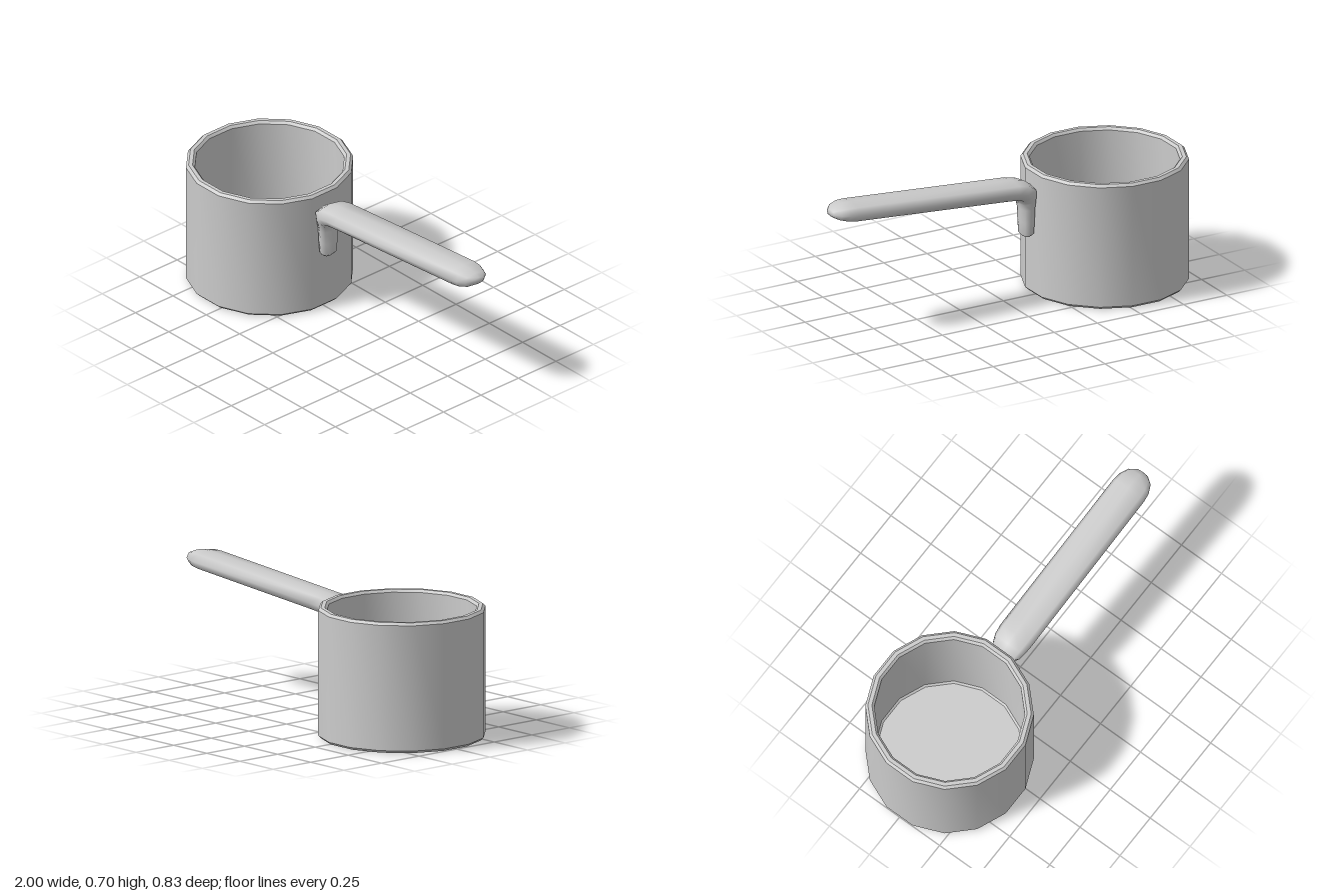
import * as THREE from 'three';
import { toCreasedNormals } from 'three/addons/utils/BufferGeometryUtils.js';

const SIDES = 16;

// Pot: one closed profile, outside up over the rim and down the inside
function makePot() {
  const profile = [
    [0, 0], [0.408, 0], [0.421, 0.013], [0.421, 0.652], [0.408, 0.665],
    [0.388, 0.665], [0.376, 0.652], [0.376, 0.05], [0.366, 0.04], [0, 0.04],
  ].map(([r, y]) => new THREE.Vector2(r, y));
  const lathe = new THREE.LatheGeometry(profile, SIDES, Math.PI / SIDES);
  return toCreasedNormals(lathe, 0.7);
}

// Handle: rounded eight-sided sections [x, y, halfThickness, halfWidth, direction in degrees]
function makeHandle() {
  const sections = [
    [-0.137, 0.321, 0.018, 0.028, 90],
    [-0.137, 0.335, 0.031, 0.045, 90],
    [-0.137, 0.40, 0.035, 0.050, 90],
    [-0.137, 0.47, 0.035, 0.054, 90],
    [-0.136, 0.51, 0.041, 0.064, 75],
    [-0.130, 0.548, 0.054, 0.082, 46],
    [-0.100, 0.573, 0.051, 0.092, 25],
    [-0.050, 0.586, 0.047, 0.097, 8],
    [0.020, 0.592, 0.046, 0.097, 5],
    [0.880, 0.659, 0.046, 0.097, 5],
    [0.925, 0.662, 0.043, 0.091, 4],
    [0.970, 0.664, 0.032, 0.070, 2],
    [0.994, 0.664, 0.017, 0.035, 0],
  ];
  const n = 8;
  const square = (v) => Math.sign(v) * Math.pow(Math.abs(v), 0.72);
  const pos = [];
  const index = [];
  for (const [x, y, h, w, deg] of sections) {
    const a = THREE.MathUtils.degToRad(deg);
    for (let j = 0; j < n; j++) {
      const t = (j / n) * Math.PI * 2;
      const up = h * square(Math.round(Math.cos(t) * 1e6) / 1e6);
      const side = w * square(Math.round(Math.sin(t) * 1e6) / 1e6);
      pos.push(x - Math.sin(a) * up, y + Math.cos(a) * up, side);
    }
  }
  for (let i = 0; i < sections.length - 1; i++) {
    for (let j = 0; j < n; j++) {
      const a = i * n + j;
      const b = i * n + ((j + 1) % n);
      index.push(a, b, a + n, b, b + n, a + n);
    }
  }
  // Rounded end caps
  const last = (sections.length - 1) * n;
  const foot = pos.length / 3;
  pos.push(-0.137, 0.319, 0, 1.0, 0.664, 0);
  for (let j = 0; j < n; j++) {
    const k = (j + 1) % n;
    index.push(foot, k, j, foot + 1, last + j, last + k);
  }
  const geo = new THREE.BufferGeometry();
  geo.setAttribute('position', new THREE.Float32BufferAttribute(pos, 3));
  geo.setIndex(index);
  geo.computeVertexNormals();
  return geo;
}

export function createModel() {
  const group = new THREE.Group();
  group.name = 'saucepan';
  const material = new THREE.MeshStandardMaterial({ color: 0xcccccc });

  const pot = new THREE.Mesh(makePot(), material);
  pot.name = 'pot';
  pot.position.x = -0.587;
  group.add(pot);

  const handle = new THREE.Mesh(makeHandle(), material);
  handle.name = 'handle';
  handle.position.z = 0.01;
  group.add(handle);

  return group;
}
